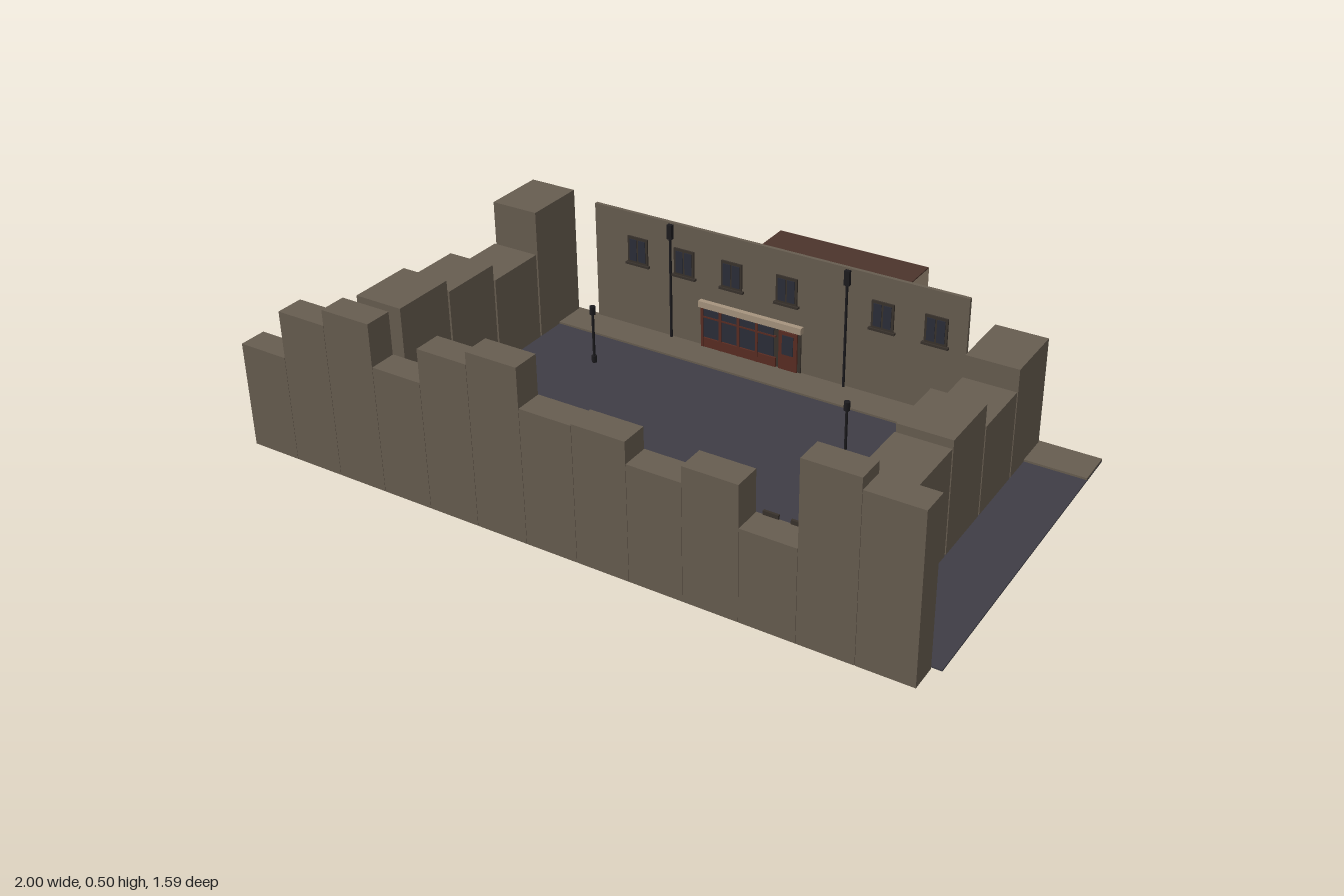
import * as THREE from 'three';

const mat = (name, color) => {
  const m = new THREE.MeshStandardMaterial({ color });
  m.name = name;
  return m;
};

export function createModel() {
  const root = new THREE.Group();
  root.name = 'streetBlock';
  const M = {
    wall: mat('brown stone', 0x675d50),
    road: mat('asphalt', 0x3f3d45),
    roof: mat('red brown roof', 0x4c342c),
    plaster: mat('tan plaster', 0xa6947e),
    glass: mat('dark glass', 0x2b2d38),
    iron: mat('black iron', 0x1c1b1e),
    wood: mat('red wood', 0x5a2c22),
    frame: mat('dark frame', 0x39322c),
  };

  // box given by its minimum and maximum corners
  const box = (name, m, x0, x1, y0, y1, z0, z1, parent = root) => {
    const b = new THREE.Mesh(new THREE.BoxGeometry(x1 - x0, y1 - y0, z1 - z0), m);
    b.position.set((x0 + x1) / 2, (y0 + y1) / 2, (z0 + z1) / 2);
    b.name = name;
    parent.add(b);
    return b;
  };
  const rod = (name, m, r, x, y0, y1, z, parent = root) => {
    const c = new THREE.Mesh(new THREE.CylinderGeometry(r, r, y1 - y0, 8), m);
    c.position.set(x, (y0 + y1) / 2, z);
    c.name = name;
    parent.add(c);
  };
  const group = (name) => {
    const g = new THREE.Group();
    g.name = name;
    root.add(g);
    return g;
  };

  // ground
  box('road', M.road, -1, 1, 0, 0.004, -0.29, 0.71);
  box('sidewalk', M.wall, -1, 1, 0.004, 0.01, -0.29, -0.18);

  // front row of houses, with windows facing the street inside
  const frontRow = group('frontHouses');
  [0.305, 0.44, 0.485, 0.365, 0.46, 0.495, 0.385, 0.39, 0.33, 0.375, 0.26, 0.495, 0.465].forEach((h, i) => {
    const x = -0.9 + i * 0.15;
    box('frontHouse', M.wall, x - 0.0745, x + 0.0745, 0, h, 0.714, 0.792, frontRow);
    for (const y of [0.075, 0.205]) for (const dx of [-0.036, 0.036]) {
      box('houseWindowFrame', M.frame, x + dx - 0.02, x + dx + 0.02, y, y + 0.066, 0.71, 0.717, frontRow);
      box('houseWindowPane', M.glass, x + dx - 0.016, x + dx + 0.016, y + 0.005, y + 0.061, 0.708, 0.712, frontRow);
    }
  });

  // side rows, from front to back
  const sideRow = (name, cx, heights) => {
    const g = group(name);
    heights.forEach((h, i) => {
      const z = 0.414 - i * 0.2;
      box('sideHouse', M.wall, cx - 0.075, cx + 0.075, 0, h, z - 0.0965, z + 0.0965, g);
    });
  };
  sideRow('leftHouses', 0.75, [0.31, 0.33, 0.263, 0.325]);
  sideRow('rightHouses', -0.75, [0.362, 0.325, 0.274, 0.405]);

  // main facade
  const facade = group('facade');
  box('facadeWall', M.wall, -0.6, 0.6, 0, 0.38, -0.293, -0.282, facade);
  for (const x of [-0.45, -0.29, -0.13, 0.05, 0.35, 0.51]) {
    box('windowFrame', M.frame, x - 0.034, x + 0.034, 0.22, 0.305, -0.283, -0.277, facade);
    for (const s of [-1, 1])
      box('windowPane', M.glass, x + s * 0.015 - 0.012, x + s * 0.015 + 0.012, 0.228, 0.297, -0.278, -0.275, facade);
    box('windowSill', M.frame, x - 0.04, x + 0.04, 0.214, 0.221, -0.283, -0.272, facade);
  }
  for (const x of [-0.335, 0.24]) {
    rod('drainpipe', M.iron, 0.004, x, 0.01, 0.35, -0.276, facade);
    box('pipeHead', M.iron, x - 0.008, x + 0.008, 0.33, 0.375, -0.282, -0.27, facade);
  }

  // shop front
  const shop = group('shopFront');
  box('shopBack', M.frame, -0.23, 0.1, 0.01, 0.145, -0.283, -0.278, shop);
  box('shopSign', M.plaster, -0.235, 0.105, 0.14, 0.16, -0.283, -0.266, shop);
  box('shopBase', M.wood, -0.23, 0.02, 0.01, 0.04, -0.279, -0.273, shop);
  for (let i = 0; i < 4; i++) {
    const x = -0.222 + i * 0.061;
    box('shopPane', M.glass, x, x + 0.052, 0.042, 0.132, -0.279, -0.275, shop);
    box('shopPost', M.wood, x - 0.008, x, 0.01, 0.14, -0.279, -0.272, shop);
  }
  box('shopRail', M.wood, -0.23, 0.02, 0.106, 0.111, -0.279, -0.273, shop);
  box('shopDoor', M.wood, 0.03, 0.09, 0.01, 0.132, -0.279, -0.273, shop);
  box('doorPane', M.glass, 0.042, 0.078, 0.06, 0.122, -0.274, -0.271, shop);

  // back room behind the shop
  const room = group('backRoom');
  box('roomFloor', M.road, -0.25, 0.25, 0, 0.005, -0.79, -0.293, room);
  for (const s of [-1, 1])
    box('roomSideWall', M.plaster, s * 0.25 - 0.004, s * 0.25 + 0.004, 0, 0.168, -0.79, -0.293, room);
  box('roomBackWall', M.plaster, -0.254, 0.254, 0, 0.168, -0.795, -0.787, room);
  box('roomRoof', M.roof, -0.254, 0.254, 0.165, 0.172, -0.79, -0.293, room);

  // street lamps
  for (const [x, z] of [[-0.45, -0.04], [0.42, 0.06]]) {
    const lamp = group('streetLamp');
    rod('lampFoot', M.iron, 0.008, x, 0.004, 0.025, z, lamp);
    rod('lampPost', M.iron, 0.004, x, 0.02, 0.165, z, lamp);
    rod('lampHead', M.iron, 0.009, x, 0.16, 0.185, z, lamp);
  }
  return root;
}
